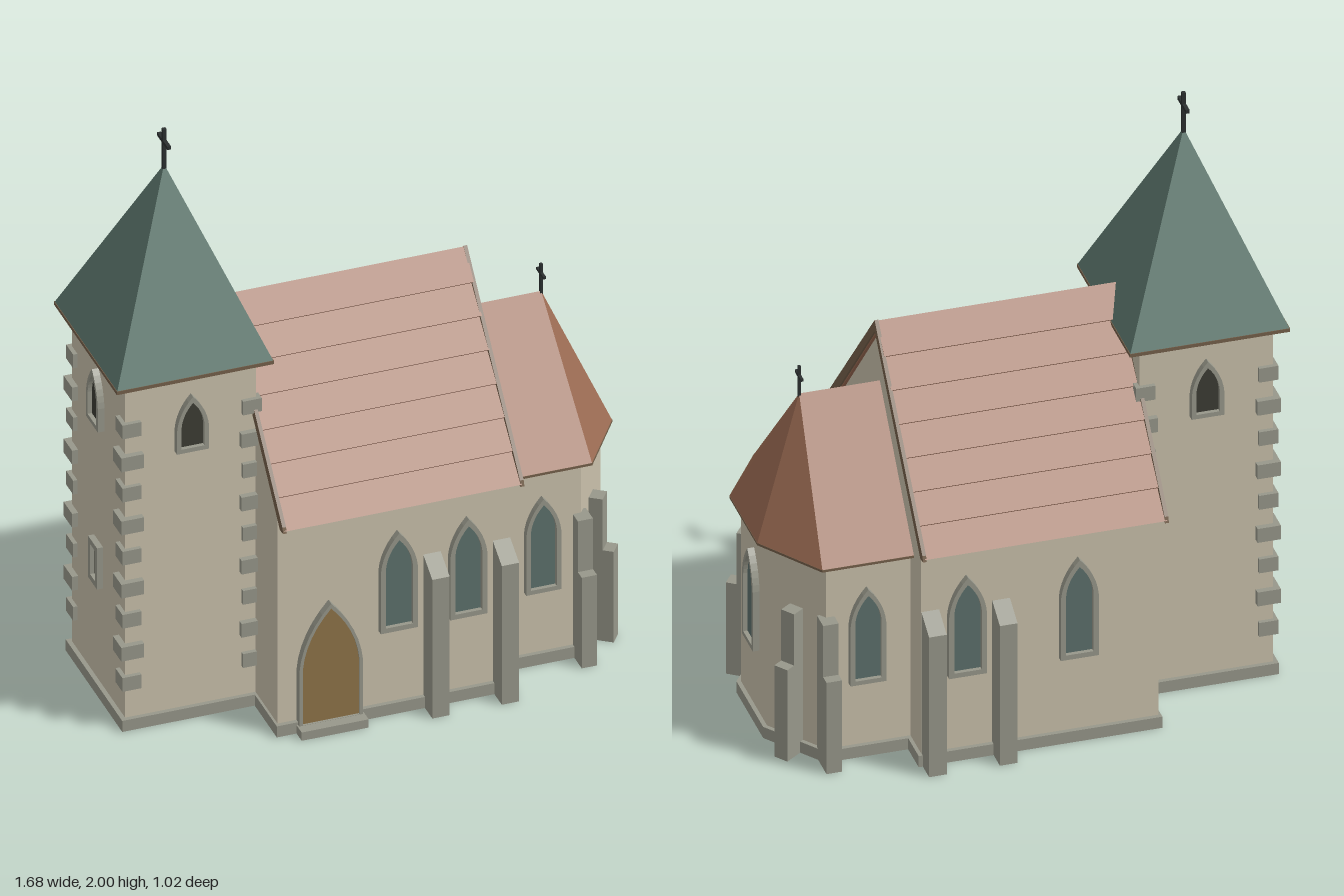
import * as THREE from 'three';
import { ConvexGeometry } from 'three/addons/geometries/ConvexGeometry.js';

const COLORS = {
  wall: 0xc9c0ab, stone: 0x97978a, tile: 0x9a6a52, trim: 0x75604a, copper: 0x5f7a70,
  glass: 0x5c706c, dark: 0x3c3c34, door: 0x8e7348, iron: 0x2b3030,
};
const MATS = {};
const mat = (key) => (MATS[key] ??= new THREE.MeshStandardMaterial({ color: COLORS[key], flatShading: true }));

function add(parent, name, geo, key, x = 0, y = 0, z = 0) {
  const mesh = new THREE.Mesh(geo, mat(key));
  mesh.name = name;
  mesh.position.set(x, y, z);
  parent.add(mesh);
  return mesh;
}

function group(parent, name, x = 0, y = 0, z = 0, ry = 0) {
  const g = new THREE.Group();
  g.name = name;
  g.position.set(x, y, z);
  g.rotation.y = ry;
  parent.add(g);
  return g;
}

const box = (w, h, d) => new THREE.BoxGeometry(w, h, d);
const v = (x, y, z) => new THREE.Vector3(x, y, z);
const shapeOf = (pts) => new THREE.Shape(pts.map(([x, y]) => new THREE.Vector2(x, y)));
const extrude = (shape, depth) => new THREE.ExtrudeGeometry(shape, { depth, bevelEnabled: false, curveSegments: 6 });

// Footprint of (x, z) points raised to height h
const prism = (pts, h) => extrude(shapeOf(pts.map(([x, z]) => [x, -z])), h).rotateX(-Math.PI / 2);

// Symmetric (z, y) section swept along x from x0 to x1
const sweepX = (pts, x0, x1) => extrude(shapeOf(pts), x1 - x0).rotateY(Math.PI / 2).translate(x0, 0, 0);

// Right half of a section, continued by its mirror image
const mirrored = (half) => [...half, ...half.filter(([z]) => z > 0).reverse().map(([z, y]) => [-z, y])];

// Pointed arch outline standing on y = base
function lancet(w, h, base = 0, Type = THREE.Shape) {
  const s = new Type(), r = w / 2, spring = h - w * 1.1;
  s.moveTo(-r, base);
  s.lineTo(r, base);
  s.lineTo(r, spring);
  s.quadraticCurveTo(r * 0.9, spring + w * 0.6, 0, h);
  s.quadraticCurveTo(-r * 0.9, spring + w * 0.6, -r, spring);
  s.closePath();
  return s;
}

// Stone arch frame with a recessed panel, facing local +z
function archOpening(parent, name, w, h, key, pos, ry, rim = 0.017, panelDepth = 0.008, sill = rim) {
  const g = group(parent, name, ...pos, ry);
  const frame = lancet(w, h);
  frame.holes.push(lancet(w - 2 * rim, h - rim * 1.5, Math.max(sill, 0.001), THREE.Path));
  add(g, 'frame', extrude(frame, 0.035).translate(0, 0, -0.013), 'stone');
  add(g, 'panel', extrude(lancet(w - rim, h - rim * 0.8, 0.002), panelDepth + 0.01).translate(0, 0, -0.01), key);
}

// Buttress from an (outward, y) profile, projecting along local +z
function buttress(parent, profile, w, x, z, ry) {
  const g = group(parent, 'buttress', x, 0, z, ry);
  add(g, 'buttressBody', extrude(shapeOf(profile), w).rotateY(-Math.PI / 2).translate(w / 2, 0, 0), 'stone');
}

function cross(parent, name, x, y, h, span, barY, t) {
  const g = group(parent, name, x, y, 0);
  add(g, 'post', box(t, h + 0.03, t), 'iron', 0, (h - 0.03) / 2, 0);
  add(g, 'bar', box(t, t, span), 'iron', 0, barY, 0);
}

function buildTower(root) {
  const g = group(root, 'tower', -0.583, 0, 0);
  const hx = 0.215, hz = 0.235;
  add(g, 'towerWalls', box(hx * 2, 1.26, hz * 2), 'wall', 0, 0.63, 0);
  add(g, 'towerPlinth', box(hx * 2 + 0.03, 0.04, hz * 2 + 0.03), 'stone', 0, 0.02, 0);

  // Corner stones, alternating in size
  for (const sx of [-1, 1]) for (const sz of [-1, 1]) for (let i = 0; i < 9; i++) {
    const s = i % 2 ? 0.075 : 0.062, out = i % 2 ? 0.02 : 0.014;
    add(g, 'cornerStone', box(s, 0.05, s), 'stone',
      sx * (hx + out - s / 2), 0.17 + i * 0.115, sz * (hz + out - s / 2));
  }

  // Belfry openings and a small slit below
  const sides = [[0, hz, 0], [0, -hz, Math.PI], [-hx, 0, -Math.PI / 2]];
  for (const [x, z, ry] of sides) archOpening(g, 'belfryWindow', 0.105, 0.2, 'dark', [x, 0.975, z], ry, 0.015);
  const slit = group(g, 'slitWindow', -hx, 0.47, 0, -Math.PI / 2);
  const rect = shapeOf([[-0.04, -0.075], [0.04, -0.075], [0.04, 0.075], [-0.04, 0.075]]);
  rect.holes.push(shapeOf([[-0.022, -0.055], [0.022, -0.055], [0.022, 0.055], [-0.022, 0.055]]));
  add(slit, 'frame', extrude(rect, 0.02), 'stone');
  add(slit, 'panel', box(0.05, 0.12, 0.01), 'dark');

  // Pyramid roof
  const corners = [[-1, -1], [1, -1], [1, 1], [-1, 1]].map(([a, b]) => v(a * 0.256, 1.262, b * 0.276));
  add(g, 'towerRoof', new ConvexGeometry([...corners, v(0, 1.87, 0)]), 'copper');
  add(g, 'towerEave', box(0.516, 0.012, 0.556), 'trim', 0, 1.256, 0);
  cross(g, 'towerCross', 0, 1.865, 0.135, 0.09, 0.09, 0.012);
}

function buildNave(root) {
  const g = group(root, 'nave');
  add(g, 'naveWalls', sweepX(mirrored([[0.43, 0], [0.43, 0.78], [0.49, 0.78], [0, 1.335]]), -0.37, 0.395), 'wall');
  add(g, 'navePlinth', box(0.785, 0.04, 0.89), 'stone', 0.0145, 0.02, 0);

  // Stepped tile courses: each row flares out at its lower edge
  const rows = 7, eave = [0.497, 0.777], ridge = [0, 1.343], lift = 0.012;
  const half = [[0.47, 0.777]];
  for (let i = 0; i < rows; i++) {
    const at = (t) => [eave[0] * (1 - t), eave[1] + (ridge[1] - eave[1]) * t];
    const [z0, y0] = at(i / rows), [z1, y1] = at((i + 1) / rows);
    if (i > 0) half.push([z0, y0]);
    half.push([z0 + lift * 0.75, y0 + lift * 0.66], [z1, y1 + (i === rows - 1 ? 0.01 : 0)]);
  }
  const section = [...mirrored(half), [0, 1.312]];
  add(g, 'naveRoof', sweepX(section, -0.375, 0.405), 'tile');

  // Verge boards on both gables
  const verge = [...mirrored([[0.478, 0.775], [0.507, 0.778], [0.5, 0.797], [0, 1.356]]), [0, 1.317]];
  for (const x of [-0.38, 0.4]) add(g, 'vergeBoard', sweepX(verge, x, x + 0.012), 'trim');

  // Windows and door
  const win = (x, s) => archOpening(g, 'naveWindow', 0.122, 0.355, 'glass', [x, 0.305, s * 0.43], s > 0 ? 0 : Math.PI);
  [0.022, 0.25].forEach((x) => win(x, 1));
  [-0.11, 0.25].forEach((x) => win(x, -1));
  archOpening(g, 'door', 0.21, 0.425, 'door', [-0.203, 0.03, 0.433], 0, 0.012, 0.016, 0);
  add(g, 'doorStep', box(0.22, 0.03, 0.08), 'stone', -0.203, 0.015, 0.45);

  // Sloping buttresses on both long walls
  const profile = [[-0.02, 0], [0.08, 0], [0.08, 0.505], [0, 0.55], [-0.02, 0.55]];
  for (const s of [1, -1]) for (const x of [0.137, 0.365]) {
    buttress(g, profile, 0.057, x, s * 0.43, s > 0 ? 0 : Math.PI);
  }
}

function buildChancel(root) {
  const g = group(root, 'chancel');
  const plan = (x0, xs, xe, zs, ze) => [[x0, zs], [xs, zs], [xe, ze], [xe, -ze], [xs, -zs], [x0, -zs]];
  add(g, 'chancelWalls', prism(plan(0.38, 0.667, 0.8, 0.32, 0.135), 0.715), 'wall');
  add(g, 'chancelPlinth', prism(plan(0.38, 0.674, 0.814, 0.335, 0.14), 0.04), 'stone');

  // Hipped roof over the three-sided end
  const eaves = plan(0.38, 0.69, 0.835, 0.358, 0.145);
  add(g, 'chancelRoof', new ConvexGeometry([
    ...eaves.map(([x, z]) => v(x, 0.71, z)), v(0.38, 1.135, 0), v(0.655, 1.135, 0),
  ]), 'tile');
  add(g, 'chancelEave', prism(eaves, 0.008).translate(0, 0.704, 0), 'trim');
  cross(g, 'chancelCross', 0.655, 1.13, 0.105, 0.062, 0.07, 0.009);

  const faces = [[0.537, 0.32, 0], [0.537, -0.32, Math.PI], [0.8, 0, Math.PI / 2]];
  for (const [x, z, ry] of faces) archOpening(g, 'chancelWindow', 0.115, 0.34, 'glass', [x, 0.265, z], ry, 0.015);

  // Stepped buttresses at the corners and on the slanted faces
  const profile = [[-0.02, 0], [0.08, 0], [0.08, 0.33], [0.045, 0.33], [0.045, 0.515], [-0.02, 0.515]];
  const slant = Math.atan2(0.185, 0.133);
  for (const s of [1, -1]) {
    buttress(g, profile, 0.05, 0.665, s * 0.32, s > 0 ? 0 : Math.PI);
    buttress(g, profile, 0.05, 0.7335, s * 0.2275, s > 0 ? slant : Math.PI - slant);
  }
}

export function createModel() {
  const root = new THREE.Group();
  root.name = 'church';
  buildTower(root);
  buildNave(root);
  buildChancel(root);
  return root;
}
